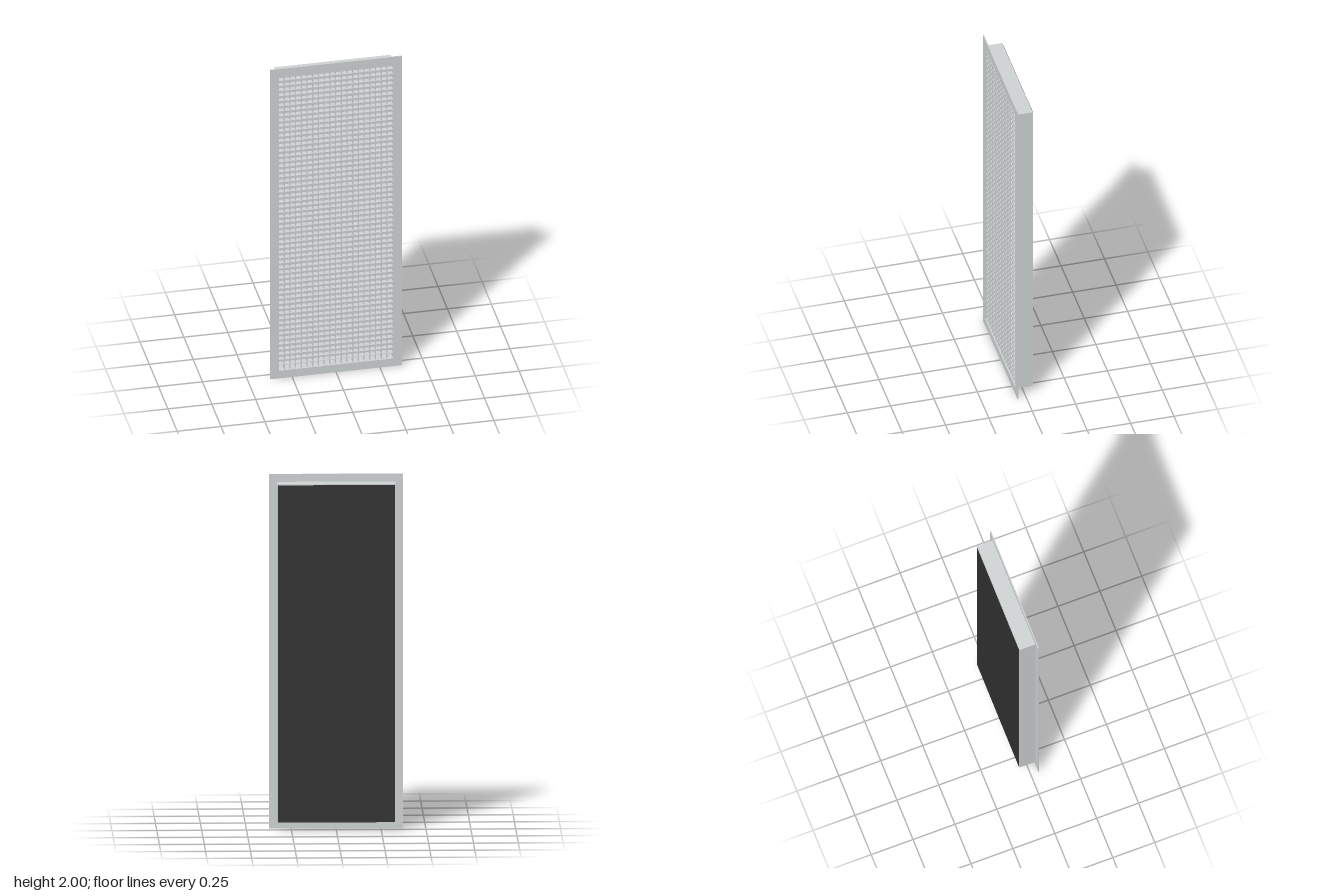
import * as THREE from 'three';

const W = 0.748, H = 2;             // flange outer size
const CW = 0.66, CH = 1.912;        // collar outer size
const IW = 0.65, IH = 1.902;        // clear opening
const FRONT = 0.051, FLANGE_BACK = 0.045, COLLAR_BACK = -0.0485;
const COLS = 20, ROWS = 58, BLADE = 0.003, DEPTH = 0.03;

const metal = new THREE.MeshStandardMaterial({ color: 0xcfd3d3 });
metal.name = 'light grey metal';
const black = new THREE.MeshStandardMaterial({ color: 0x303030 });
black.name = 'black backing';

function rect(target, w, h) {
  target.moveTo(-w / 2, -h / 2);
  target.lineTo(w / 2, -h / 2);
  target.lineTo(w / 2, h / 2);
  target.lineTo(-w / 2, h / 2);
  target.closePath();
  return target;
}

// Rectangular ring between two z positions
function ring(name, w, h, z0, z1) {
  const shape = rect(new THREE.Shape(), w, h);
  shape.holes.push(rect(new THREE.Path(), IW, IH));
  const geo = new THREE.ExtrudeGeometry(shape, { depth: z1 - z0, bevelEnabled: false });
  const mesh = new THREE.Mesh(geo, metal);
  mesh.name = name;
  mesh.position.set(0, H / 2, z0);
  return mesh;
}

// Flat sheet filling the opening
function sheet(name, material, thickness, z) {
  const mesh = new THREE.Mesh(new THREE.BoxGeometry(IW, IH, thickness), material);
  mesh.name = name;
  mesh.position.set(0, H / 2, z);
  return mesh;
}

export function createModel() {
  const model = new THREE.Group();
  model.name = 'ventGrille';

  // Thin front flange and the deep collar behind it
  model.add(ring('flange', W, H, FLANGE_BACK, FRONT));
  model.add(ring('collar', CW, CH, COLLAR_BACK, FLANGE_BACK));

  // Egg-crate core of crossed blades
  const core = new THREE.Group();
  core.name = 'eggCrateCore';
  core.position.set(0, H / 2, FLANGE_BACK - DEPTH / 2);
  const upright = new THREE.BoxGeometry(BLADE, IH, DEPTH);
  const level = new THREE.BoxGeometry(IW, BLADE, DEPTH);
  for (let i = 1; i < COLS; i++) {
    const blade = new THREE.Mesh(upright, metal);
    blade.name = 'verticalBlade';
    blade.position.x = (i / COLS - 0.5) * IW;
    core.add(blade);
  }
  for (let j = 1; j < ROWS; j++) {
    const blade = new THREE.Mesh(level, metal);
    blade.name = 'horizontalBlade';
    blade.position.y = (j / ROWS - 0.5) * IH;
    core.add(blade);
  }
  model.add(core);

  // Grey tray floor seen through the core, and the dark sheet behind it
  model.add(sheet('trayFloor', metal, 0.002, COLLAR_BACK + 0.001));
  model.add(sheet('backPanel', black, 0.001, COLLAR_BACK - 0.0025));

  return model;
}
